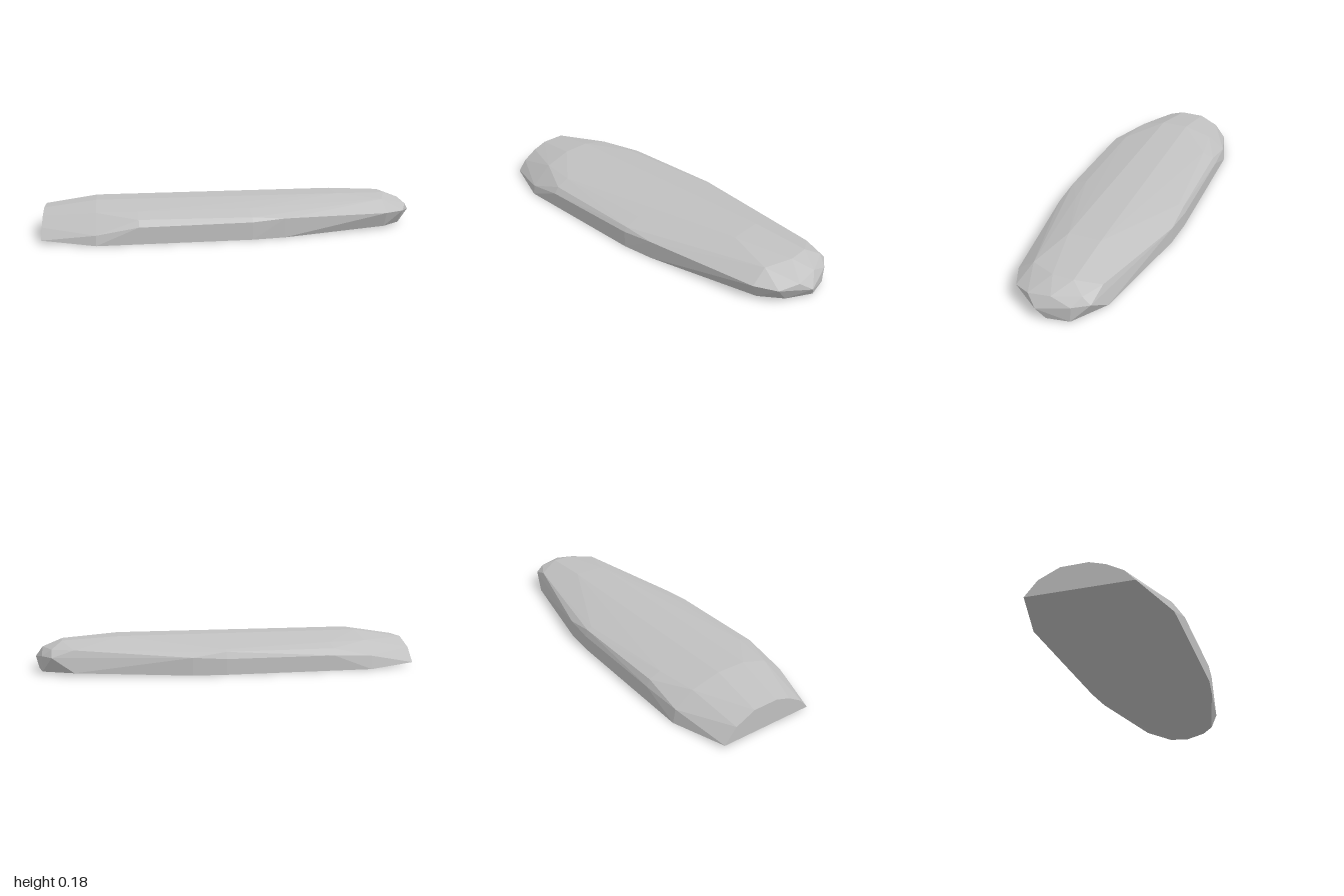
import * as THREE from 'three';
import { ConvexGeometry } from 'three/addons/geometries/ConvexGeometry.js';

// Cross-sections along the length: x, then [z, y] pairs around the arch
const tail = [
  [-1, [[0.24, 0.015], [0.19, 0.07], [0.11, 0.115], [0.03, 0.14], [-0.1, 0.138], [-0.2, 0.09], [-0.26, 0.015]]],
  [-0.73, [[0.335, 0], [0.325, 0.05], [0.21, 0.14], [0.07, 0.18], [-0.08, 0.18], [-0.23, 0.14], [-0.325, 0.07], [-0.337, 0]]],
  [-0.52, [[0.335, 0.085], [0.31, 0.118], [0.24, 0.145], [-0.26, 0.14], [-0.32, 0.115], [-0.337, 0.08]]],
];
const body = [
  [0.05, [[0.335, 0], [0.335, 0.09], [0.32, 0.113], [0.24, 0.143], [-0.3, 0.125], [-0.325, 0.115], [-0.337, 0.08], [-0.337, 0]]],
  [0.22, [[0.315, 0], [0.318, 0.1], [0.22, 0.145], [-0.325, 0.09], [-0.325, 0]]],
  [0.57, [[0.085, 0.178], [-0.085, 0.178]]],
];
const nose = [
  [0.8, [[0.2, 0.012], [0.235, 0.09], [0.15, 0.15], [-0.2, 0.127], [-0.225, 0.016]]],
  [0.86, [[0.02, 0.163], [-0.085, 0.163]]],
  [0.91, [[0.125, 0.014], [0.185, 0.09], [-0.19, 0.09], [-0.15, 0.127]]],
  [0.96, [[0.095, 0.11], [-0.02, 0.127], [-0.115, 0.09], [-0.11, 0.01]]],
  [0.98, [[0, 0.01]]],
  [1, [[0.04, 0.068]]],
];

export function createModel() {
  const group = new THREE.Group();
  group.name = 'slab';

  const grey = new THREE.MeshStandardMaterial({ color: 0xc0c0c0 });
  grey.name = 'stone grey';

  // One faceted shell stretched around all the sections
  const points = [...tail, ...body, ...nose].flatMap(([x, ring]) =>
    ring.map(([z, y]) => new THREE.Vector3(x, y, z)));
  const shell = new THREE.Mesh(new ConvexGeometry(points), grey);
  shell.name = 'facetedSlab';
  group.add(shell);

  return group;
}
